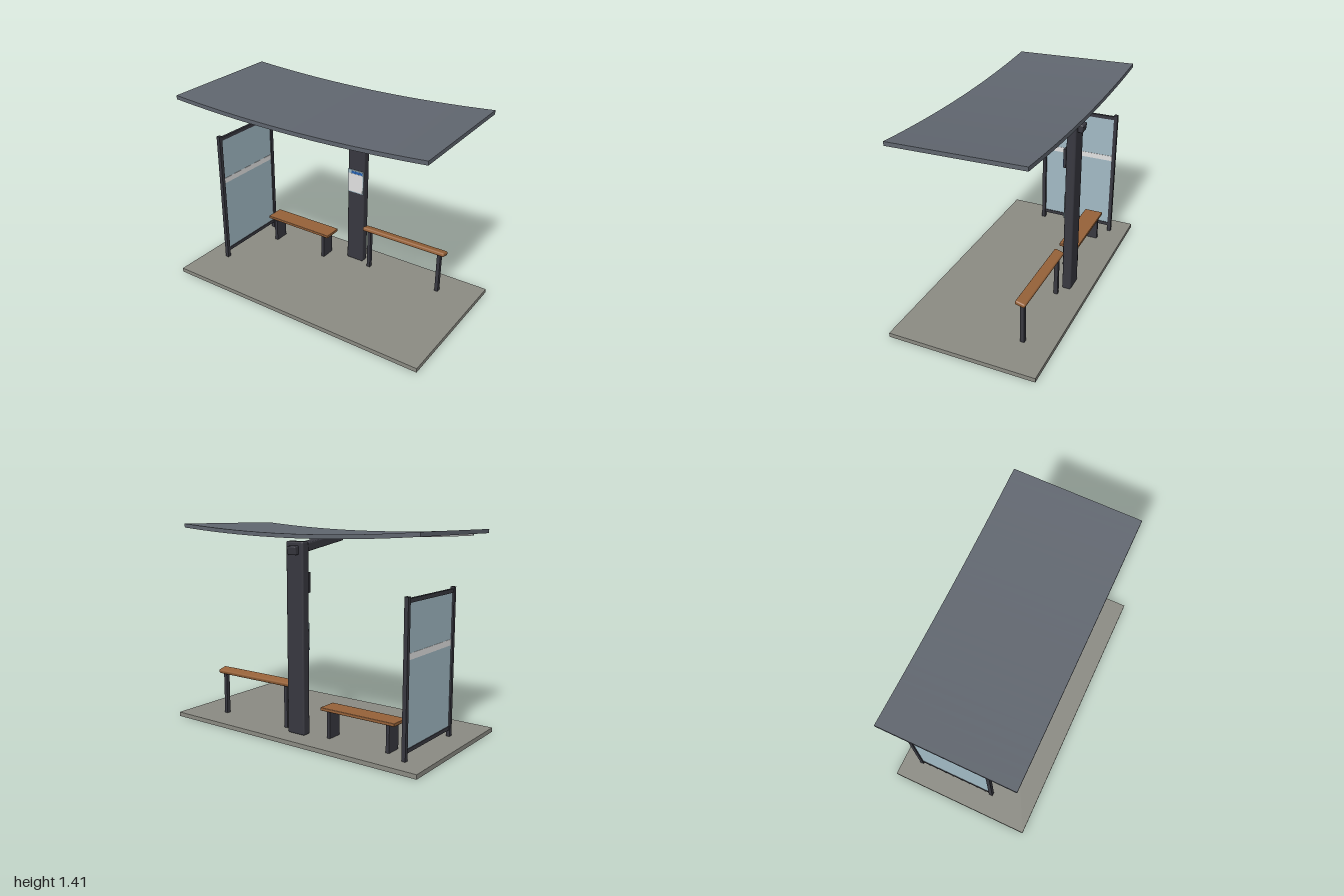
import * as THREE from 'three';
import { toCreasedNormals } from 'three/addons/utils/BufferGeometryUtils.js';
import { RoundedBoxGeometry } from 'three/addons/geometries/RoundedBoxGeometry.js';

const mat = (name, color) => {
  const m = new THREE.MeshStandardMaterial({ color });
  m.name = name;
  return m;
};

export function createModel() {
  const root = new THREE.Group();
  root.name = 'busShelter';

  const concrete = mat('concrete', 0x8b8b83);
  const roofGrey = mat('roofGrey', 0x60666f);
  const steel = mat('darkSteel', 0x383840);
  const wood = mat('wood', 0x966239);
  const glass = mat('glass', 0xa2bac5);
  const white = mat('white', 0xe2e2e2);
  const blue = mat('blue', 0x2862b0);
  const lightGrey = mat('lightStrip', 0x9a9c9c);

  const add = (parent, name, geometry, material, x = 0, y = 0, z = 0) => {
    const mesh = new THREE.Mesh(geometry, material);
    mesh.name = name;
    mesh.position.set(x, y, z);
    parent.add(mesh);
    return mesh;
  };
  // Box given by its extents; a bevel radius rounds its edges
  const box = (parent, name, material, [x0, x1], [y0, y1], [z0, z1], r = 0) => {
    const s = [x1 - x0, y1 - y0, z1 - z0];
    const g = r ? new RoundedBoxGeometry(...s, 2, r) : new THREE.BoxGeometry(...s);
    return add(parent, name, g, material, (x0 + x1) / 2, (y0 + y1) / 2, (z0 + z1) / 2);
  };
  const group = (name) => {
    const g = new THREE.Group();
    g.name = name;
    root.add(g);
    return g;
  };

  // Ground slab
  box(root, 'groundSlab', concrete, [-1, 1], [0, 0.03], [-0.52, 0.52]);

  // Curved roof, sagging in the middle and rising slightly to the back
  const sag = (x) => 0.04 * (x / 0.95) ** 2;
  const curvedSlab = (half, y0, y1, depth) => {
    const low = [], high = [], n = 24;
    for (let i = 0; i <= n; i++) {
      const x = -half + (2 * half * i) / n;
      low.push(new THREE.Vector2(x, sag(x) + y0));
      high.unshift(new THREE.Vector2(x, sag(x) + y1));
    }
    const g = new THREE.ExtrudeGeometry(new THREE.Shape([...low, ...high]), { depth, bevelEnabled: false });
    g.translate(0, 0, -depth / 2);
    return toCreasedNormals(g, 0.5);
  };
  const roof = group('roof');
  roof.position.y = 1.357;
  roof.rotation.x = 0.02;
  add(roof, 'roofPanel', curvedSlab(0.95, -0.027, 0, 0.9), roofGrey);
  add(roof, 'lightStrip', curvedSlab(0.86, -0.038, -0.026, 0.018), lightGrey, 0, 0, 0.41);

  // Column and the sloping arm that carries the roof
  box(root, 'column', steel, [-0.07, 0.07], [0.03, 1.315], [-0.39, -0.325], 0.012);
  const arm = add(root, 'roofArm', new RoundedBoxGeometry(0.074, 0.056, 0.525, 2, 0.008), steel, 0, 1.291, -0.163);
  arm.rotation.x = -0.135;

  // Stop sign with a plain vehicle pictogram
  const sign = group('stopSign');
  box(sign, 'signCase', steel, [-0.069, 0.069], [0.983, 1.117], [-0.326, -0.309]);
  box(sign, 'signFace', blue, [-0.065, 0.065], [0.987, 1.113], [-0.309, -0.306]);
  box(sign, 'pictogramBody', white, [-0.026, 0.026], [1.016, 1.062], [-0.306, -0.304]);
  for (const s of [-1, 1]) {
    const wheel = s * 0.017, mirror = s * 0.03;
    box(sign, 'pictogramWheel', white, [wheel - 0.006, wheel + 0.006], [1.008, 1.016], [-0.306, -0.304]);
    box(sign, 'pictogramMirror', white, [mirror - 0.004, mirror + 0.004], [1.034, 1.052], [-0.306, -0.304]);
  }

  // Timetable case
  const timetable = group('timetable');
  box(timetable, 'timetableFrame', glass, [-0.068, 0.066], [0.605, 0.785], [-0.326, -0.321]);
  box(timetable, 'timetableSheet', white, [-0.061, 0.059], [0.612, 0.755], [-0.321, -0.3195]);
  box(timetable, 'timetableHeader', blue, [-0.036, 0.059], [0.757, 0.776], [-0.321, -0.3195]);

  // Side screen
  const screen = group('sideScreen');
  const sx = [-0.85, -0.823];
  for (const z of [0.191, -0.382])
    box(screen, 'screenPost', steel, sx, [0.03, 1.03], [z - 0.0135, z + 0.0135]);
  for (const y of [0.089, 1.005])
    box(screen, 'screenRail', steel, [-0.846, -0.827], [y - 0.013, y + 0.013], [-0.37, 0.178]);
  box(screen, 'glassPane', glass, [-0.841, -0.832], [0.1, 0.993], [-0.37, 0.173]);
  box(screen, 'glassBand', white, [-0.843, -0.83], [0.65, 0.69], [-0.369, 0.172]);

  // Low bench
  const bench = group('bench');
  box(bench, 'benchSeat', wood, [-0.74, -0.17], [0.215, 0.236], [-0.345, -0.205], 0.004);
  for (const x of [-0.683, -0.227])
    box(bench, 'benchLeg', steel, [x - 0.012, x + 0.012], [0.03, 0.217], [-0.33, -0.22]);

  // Leaning rail, tipped back
  const lean = group('leaningRail');
  const rail = add(lean, 'railTop', new RoundedBoxGeometry(0.665, 0.03, 0.072, 3, 0.011), wood, 0.428, 0.347, -0.308);
  rail.rotation.x = -0.25;
  for (const x of [0.142, 0.714])
    box(lean, 'railLeg', steel, [x - 0.013, x + 0.013], [0.03, 0.338], [-0.324, -0.295]);

  return root;
}
